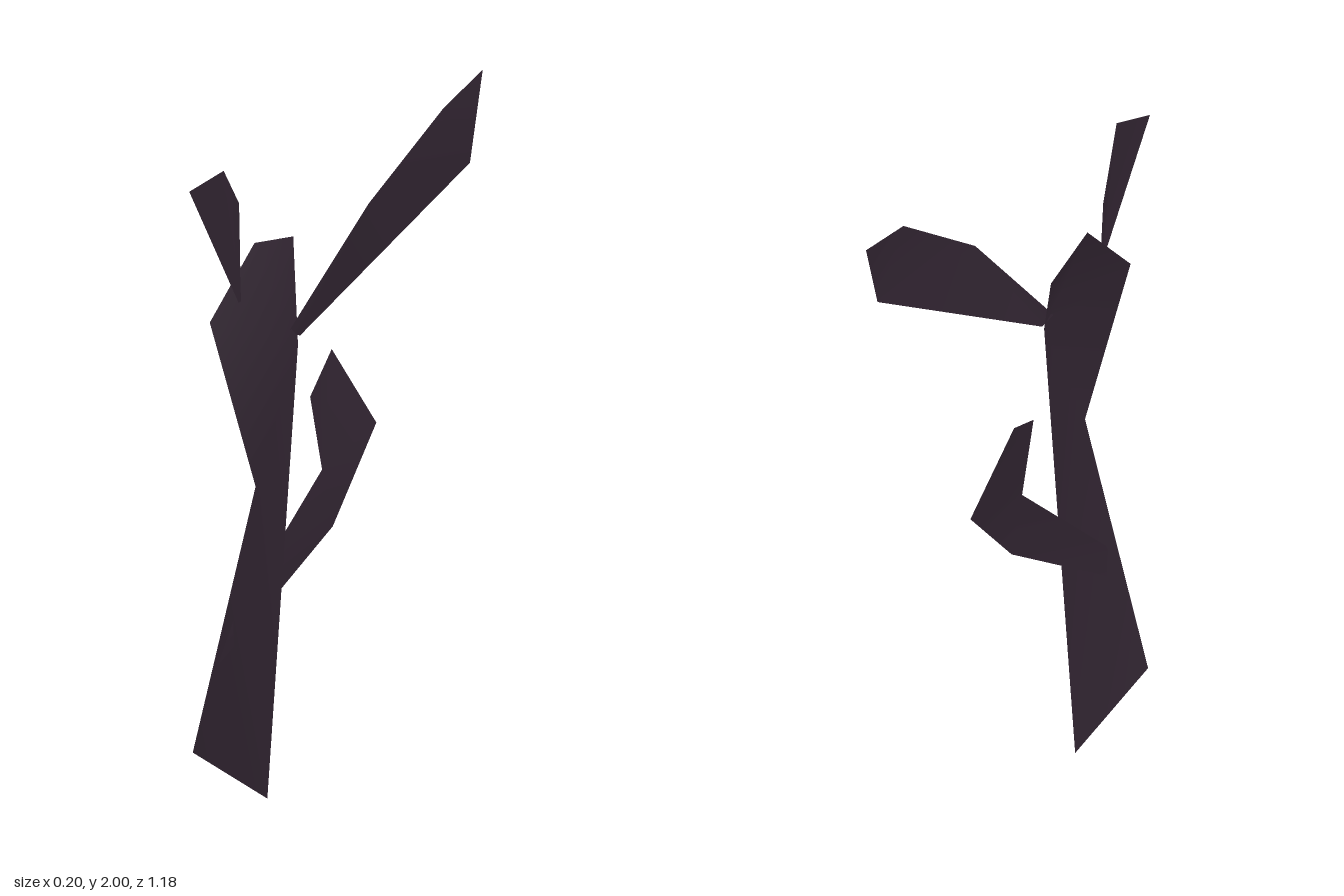
import * as THREE from 'three';

const darkPlum = new THREE.MeshStandardMaterial({ color: 0x2e222e, side: THREE.DoubleSide });
darkPlum.name = 'darkPlum';

// Thin blade: outline corners, plus the triangles that fold it.
function blade(name, outline, folds) {
  const geometry = new THREE.BufferGeometry();
  geometry.setAttribute('position', new THREE.Float32BufferAttribute(outline.flat(), 3));
  geometry.setIndex(folds.flat());
  geometry.computeVertexNormals();
  const mesh = new THREE.Mesh(geometry, darkPlum);
  mesh.name = name;
  return mesh;
}

export function createModel() {
  const plant = new THREE.Group();
  plant.name = 'bladedPlant';

  // Twisted upright stem with a bent top
  plant.add(blade('stem', [
    [-0.04, 0, 0.23], [-0.1, 0.19, 0.48], [0.05, 1.0, 0.38], [-0.035, 1.5, 0.48],
    [-0.035, 1.69, 0.29], [-0.085, 1.64, 0.07], [0.05, 1.38, 0.2],
  ], [[0, 2, 1], [0, 6, 2], [2, 6, 3], [3, 6, 4], [4, 6, 5]]));

  // Hooked side branch, its root poking through the stem
  plant.add(blade('hookedBranch', [
    [-0.025, 0.465, 0.455], [-0.015, 0.6, 0.395], [-0.02, 0.94, 0.02], [-0.025, 1.17, 0.065],
    [-0.1, 1.25, -0.11], [-0.06, 1.0, -0.255], [-0.015, 0.76, -0.02],
  ], [[0, 6, 1], [1, 6, 2], [2, 6, 5], [2, 5, 4], [2, 4, 3]]));

  // Long blade sweeping up to the back
  plant.add(blade('longLeaf', [
    [0.035, 1.42, 0.225], [0.095, 1.75, -0.05], [0.1, 1.955, -0.36],
    [0.045, 2.0, -0.59], [0.095, 1.76, -0.48], [0.04, 1.4, 0.18],
  ], [[0, 5, 1], [1, 5, 4], [1, 4, 2], [2, 4, 3]]));

  // Short blade leaning to the front
  plant.add(blade('shortLeaf', [
    [-0.01, 1.54, 0.385], [-0.01, 1.93, 0.595], [0, 1.96, 0.46],
    [-0.085, 1.8, 0.3], [-0.015, 1.54, 0.37],
  ], [[0, 2, 1], [0, 4, 2], [2, 4, 3]]));

  return plant;
}
